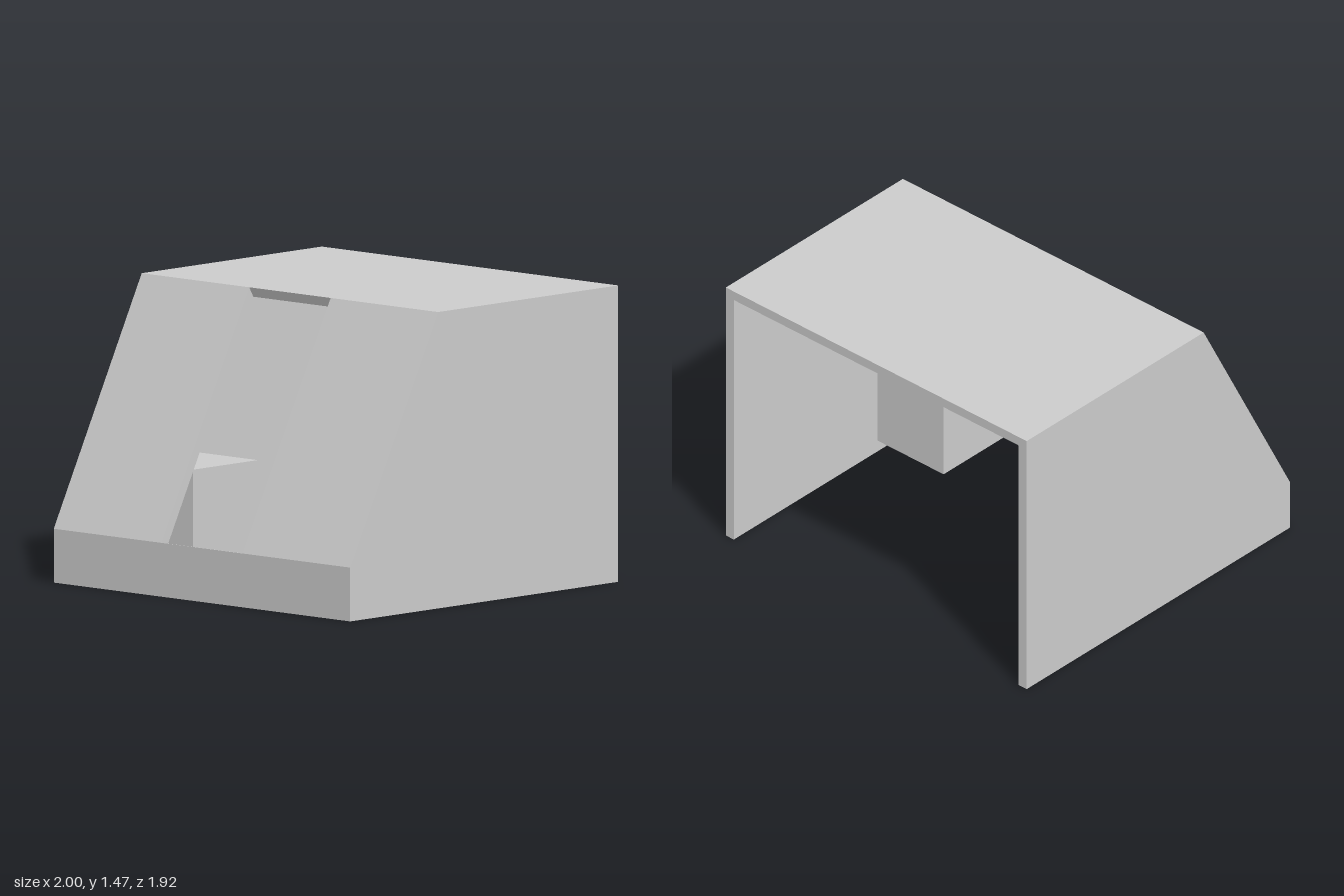
import * as THREE from 'three';

const material = new THREE.MeshStandardMaterial({ color: 0xcccccc, flatShading: true });
const thinMaterial = new THREE.MeshStandardMaterial({ color: 0xcccccc, flatShading: true, side: THREE.DoubleSide });

// Side outline as [z, y], from front foot over the knee and eave to the back
const OUTER = [[0.96, 0], [0.96, 0.267], [0.33, 1.47], [-0.96, 1.47]];
const INNER = [[0.91, 0], [0.91, 0.258], [0.3, 1.42], [-0.96, 1.42]];
const HALF_WIDTH = 1;
const WALL_INSIDE = 0.947;
const OPENING = 0.275;

// Extrudes a [z, y] outline across the model from x0 to x1
function slab(name, outline, x0, x1) {
  const shape = new THREE.Shape(outline.map(([z, y]) => new THREE.Vector2(z, y)));
  const geometry = new THREE.ExtrudeGeometry(shape, { depth: x1 - x0, bevelEnabled: false });
  geometry.rotateY(-Math.PI / 2).translate(x1, 0, 0);
  const mesh = new THREE.Mesh(geometry, material);
  mesh.name = name;
  return mesh;
}

// One mitred section of the bent shell, between outline points i and i + 1
const section = (i) => [OUTER[i], OUTER[i + 1], INNER[i + 1], INNER[i]];

// Hollow block, open underneath
function hollowBlock(name, x) {
  const geometry = new THREE.BoxGeometry(0.44, 0.47, 0.465);
  const index = Array.from(geometry.index.array);
  index.splice(18, 6); // remove the bottom face
  geometry.setIndex(index);
  geometry.clearGroups();
  const mesh = new THREE.Mesh(geometry, thinMaterial);
  mesh.position.set(x, 0.33, 0.286);
  mesh.name = name;
  return mesh;
}

export function createModel() {
  const model = new THREE.Group();
  model.name = 'openShelter';

  // Full-width front sill and roof; back and underside stay open
  model.add(slab('frontSill', section(0), -WALL_INSIDE, WALL_INSIDE));
  model.add(slab('roof', section(2), -WALL_INSIDE, WALL_INSIDE));

  // Sloped panels beside the opening, side walls and inner blocks
  const wall = [...OUTER, [-0.96, 0]];
  for (const [side, s] of [['left', 1], ['right', -1]]) {
    const span = (a, b) => (s > 0 ? [a, b] : [-b, -a]);
    model.add(slab(side + 'SlopedPanel', section(1), ...span(OPENING, WALL_INSIDE)));
    model.add(slab(side + 'Wall', wall, ...span(WALL_INSIDE, HALF_WIDTH)));
    model.add(hollowBlock(side + 'Block', s * 0.697));
  }
  return model;
}
